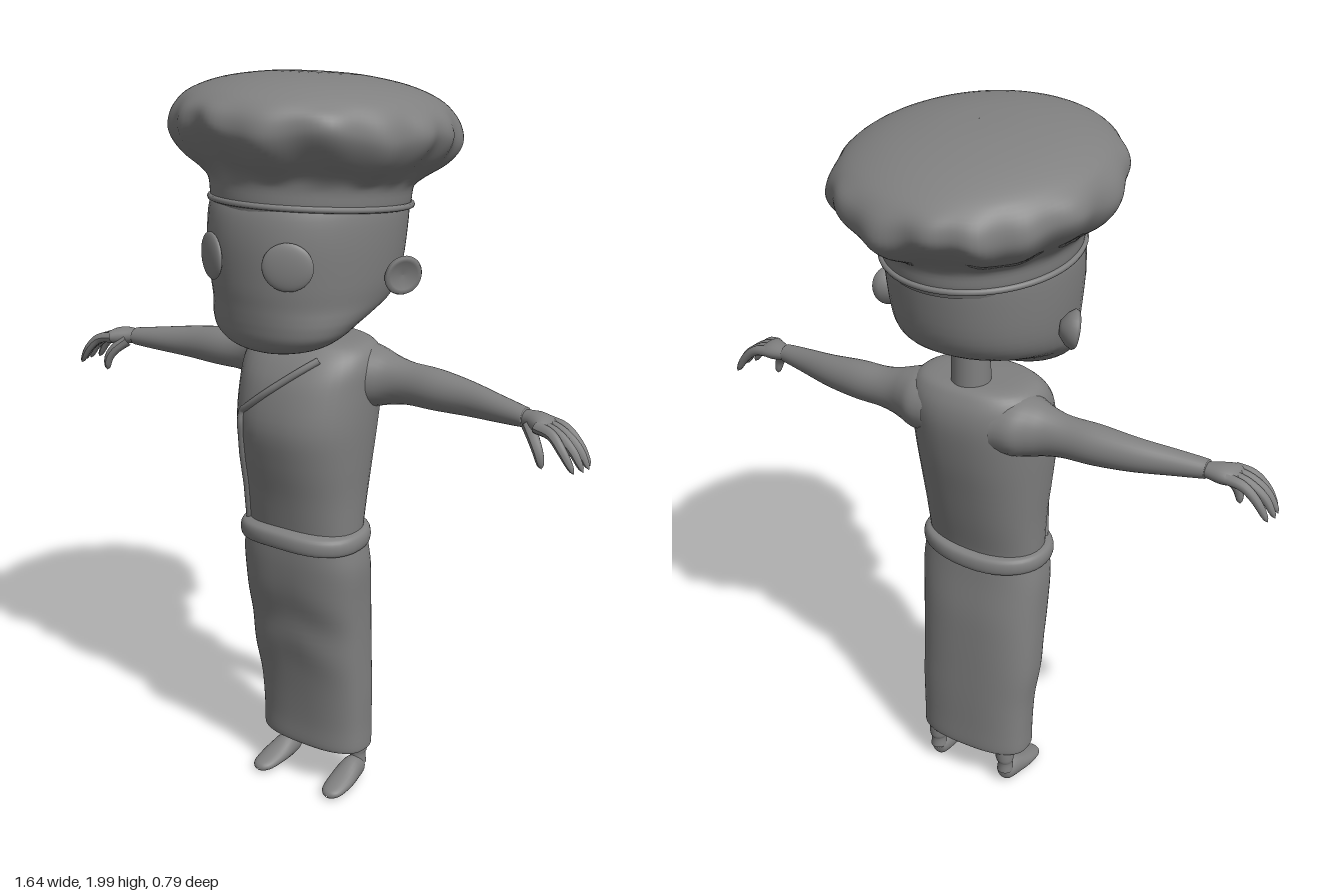
import * as THREE from 'three';

const mat = new THREE.MeshStandardMaterial({ color: 0x808080 });
const clothMat = new THREE.MeshStandardMaterial({ color: 0x808080, side: THREE.DoubleSide });
const V = (x, y, z) => new THREE.Vector3(x, y, z);

// Smooth loft upwards through rows [y, centreX, centreZ, radiusX, radiusZ] of superellipses.
function loft(rows, { n = 40, p = 2, sub = 4, warp } = {}) {
  const spline = (pts) => new THREE.CatmullRomCurve3(pts, false, 'catmullrom', 0.5);
  const mid = spline(rows.map((r) => V(r[0], r[1], r[2])));
  const rad = spline(rows.map((r) => V(r[3], r[4], 0)));
  const m = (rows.length - 1) * sub, pos = [], idx = [];
  const sp = (c) => Math.sign(c) * Math.abs(c) ** (2 / p);
  for (let i = 0; i <= m; i++) {
    const c = mid.getPoint(i / m), r = rad.getPoint(i / m);
    for (let j = 0; j < n; j++) {
      const a = (j / n) * Math.PI * 2;
      const v = V(c.y + Math.max(r.x, 0.0005) * sp(Math.cos(a)), c.x, c.z + Math.max(r.y, 0.0005) * sp(Math.sin(a)));
      if (warp) warp(v, a, c.z);
      pos.push(v.x, v.y, v.z);
      if (i < m) {
        const A = i * n + j, B = i * n + (j + 1) % n;
        idx.push(A, A + n, B, B, A + n, B + n);
      }
    }
  }
  const g = new THREE.BufferGeometry();
  g.setAttribute('position', new THREE.Float32BufferAttribute(pos, 3));
  g.setIndex(idx);
  g.computeVertexNormals();
  return g;
}

// Row from front z, back z and half width.
const row = (y, front, back, rx, cx = 0) => [y, cx, (front + back) / 2, rx, (front - back) / 2];

// Tube that tapers towards a rounded tip.
function finger(points, r) {
  const curve = new THREE.CatmullRomCurve3(points), seg = 16, sides = 10;
  const g = new THREE.TubeGeometry(curve, seg, r, sides);
  const pos = g.attributes.position, v = V(0, 0, 0);
  for (let i = 0; i <= seg; i++) {
    const t = i / seg, c = curve.getPointAt(t);
    const k = (1 - 0.35 * t) * Math.sqrt(Math.max(0, 1 - t ** 8));
    for (let j = 0; j <= sides; j++) {
      const q = i * (sides + 1) + j;
      v.fromBufferAttribute(pos, q).sub(c).multiplyScalar(Math.max(k, 0.02)).add(c);
      pos.setXYZ(q, v.x, v.y, v.z);
    }
  }
  g.computeVertexNormals();
  return g;
}

function mirrored(g) {
  const m = g.clone().scale(-1, 1, 1), ix = m.index.array;
  for (let i = 0; i < ix.length; i += 3) [ix[i], ix[i + 1]] = [ix[i + 1], ix[i]];
  return m;
}

export function createModel() {
  const model = new THREE.Group();
  const add = (name, g, material = mat) => {
    const mesh = new THREE.Mesh(g, material);
    mesh.name = name;
    model.add(mesh);
  };
  const pair = (name, g, material) => {
    add('left' + name, g, material);
    add('right' + name, mirrored(g), material);
  };

  // Torso
  const P = 2.3;
  const torso = [
    row(0.77, 0.15, -0.06, 0.165), row(0.8, 0.155, -0.06, 0.168), row(0.9, 0.172, -0.085, 0.172),
    row(1.0, 0.195, -0.108, 0.18), row(1.1, 0.21, -0.13, 0.187), row(1.2, 0.19, -0.143, 0.19),
    row(1.26, 0.16, -0.138, 0.19), row(1.3, 0.125, -0.12, 0.172), row(1.318, 0.095, -0.1, 0.13),
    row(1.322, 0.01, -0.07, 0.03),
  ];
  add('torso', loft(torso, { p: P }));

  // Crossed collar edge, laid on the chest surface
  const chestZ = (x, y) => {
    const i = Math.max(1, torso.findIndex((r) => r[0] >= y));
    const a = torso[i - 1], b = torso[i], t = (y - a[0]) / (b[0] - a[0]);
    const [cz, rx, rz] = [2, 3, 4].map((k) => a[k] + (b[k] - a[k]) * t);
    return cz + rz * Math.max(0, 1 - Math.abs(x / rx) ** P) ** (1 / P);
  };
  const edge = [[0.1, 1.285], [-0.105, 1.13], [-0.145, 0.8]];
  const pts = [];
  for (let s = 0; s < 2; s++) {
    for (let i = s; i <= 10; i++) {
      const t = i / 10, x = edge[s][0] + (edge[s + 1][0] - edge[s][0]) * t;
      const y = edge[s][1] + (edge[s + 1][1] - edge[s][1]) * t;
      pts.push(V(x, y, chestZ(x, y) + 0.003));
    }
  }
  add('collarEdge', new THREE.TubeGeometry(new THREE.CatmullRomCurve3(pts), 60, 0.01, 8));

  // Belt
  const belt = [[0.754, 0.165, 0.115], [0.759, 0.183, 0.133], [0.782, 0.188, 0.137], [0.801, 0.181, 0.13], [0.808, 0.16, 0.105]];
  add('belt', loft(belt.map(([y, rx, rz]) => [y, 0, 0.052, rx, rz]), { p: P, warp: (v) => { v.y += 0.006 * Math.sin(v.x * 14 + v.z * 9); } }));

  // Long skirt with an open hem and a few soft folds
  add('skirt', loft([
    row(0.35, 0.075, -0.07, 0.155), row(0.15, 0.065, -0.075, 0.155), row(0.127, 0.074, -0.085, 0.165),
    row(0.135, 0.082, -0.092, 0.17), row(0.2, 0.083, -0.092, 0.17), row(0.3, 0.092, -0.092, 0.173),
    row(0.4, 0.108, -0.09, 0.179, -0.005), row(0.5, 0.124, -0.087, 0.181, -0.005), row(0.6, 0.145, -0.082, 0.183, -0.003),
    row(0.7, 0.157, -0.07, 0.186), row(0.77, 0.158, -0.063, 0.178),
  ], {
    n: 56, p: 2.6, warp: (v, a) => {
      const mid = Math.exp(-(((v.y - 0.5) / 0.12) ** 2)) * Math.max(0, Math.sin(a));
      v.z += 0.004 * mid * Math.sin(v.y * 30 + Math.abs(v.x) * 14);
    },
  }), clothMat);

  // Legs and feet
  pair('Leg', loft([
    [0.05, 0.115, -0.045, 0.024, 0.024], [0.08, 0.115, -0.045, 0.022, 0.022],
    [0.12, 0.113, -0.045, 0.029, 0.028], [0.35, 0.1, -0.02, 0.04, 0.04],
  ], { n: 20 }));
  pair('Foot', loft([
    [-0.056, 0.113, -0.042, 0.004, 0.004], [-0.048, 0.114, -0.041, 0.024, 0.028], [-0.01, 0.116, -0.04, 0.033, 0.036],
    [0.04, 0.12, -0.03, 0.038, 0.026], [0.09, 0.123, -0.021, 0.033, 0.017], [0.112, 0.124, -0.018, 0.02, 0.011],
    [0.12, 0.124, -0.016, 0.002, 0.002],
  ], { n: 24 }).rotateX(Math.PI / 2));

  // Arms, lofted upright and laid along x, flaring into the shoulder
  pair('Arm', loft([
    [0.1, -1.222, -0.025, 0.086, 0.105], [0.15, -1.222, -0.028, 0.084, 0.098], [0.19, -1.222, -0.03, 0.076, 0.076],
    [0.23, -1.221, -0.031, 0.065, 0.058], [0.28, -1.22, -0.031, 0.056, 0.051], [0.36, -1.219, -0.028, 0.054, 0.051],
    [0.46, -1.216, -0.02, 0.045, 0.042], [0.56, -1.213, 0, 0.034, 0.034], [0.63, -1.211, 0.013, 0.026, 0.028],
    [0.642, -1.211, 0.014, 0.022, 0.024], [0.642, -1.211, 0.014, 0.001, 0.001],
  ], { n: 28 }).rotateZ(-Math.PI / 2));

  // Hands
  pair('Palm', loft([
    [0.625, -1.21, 0.013, 0.018, 0.02], [0.65, -1.21, 0.015, 0.021, 0.026], [0.68, -1.208, 0.022, 0.025, 0.037],
    [0.705, -1.206, 0.03, 0.022, 0.044], [0.722, -1.202, 0.032, 0.014, 0.04], [0.73, -1.2, 0.032, 0.001, 0.004],
  ], { n: 24 }).rotateZ(-Math.PI / 2));
  [[0, 0, 0.812], [0.021, 0.026, 0.822], [0.042, 0.052, 0.82], [0.06, 0.077, 0.808]].forEach(([z0, z1, x], i) => {
    pair('Finger' + (i + 1), finger([
      V(0.695, 1.208, z0), V(0.74, 1.199, (z0 + z1) / 2), V(x - 0.034, 1.168, z1), V(x, 1.118, z1),
    ], 0.0155));
  });
  pair('Thumb', finger([V(0.66, 1.2, 0.035), V(0.69, 1.172, 0.058), V(0.707, 1.145, 0.066), V(0.716, 1.108, 0.064)], 0.0175));

  // Neck and head
  add('neck', new THREE.CylinderGeometry(0.05, 0.053, 0.2, 28).translate(0, 1.38, -0.042));
  add('head', loft([
    row(1.312, 0.2, 0.18, 0.01), row(1.316, 0.235, 0.13, 0.075), row(1.332, 0.262, 0.075, 0.135),
    row(1.36, 0.278, 0.03, 0.178), row(1.39, 0.285, -0.03, 0.2), row(1.415, 0.289, -0.1, 0.213),
    row(1.445, 0.293, -0.172, 0.223), row(1.5, 0.3, -0.212, 0.234), row(1.6, 0.304, -0.231, 0.243),
    row(1.68, 0.292, -0.236, 0.242), row(1.73, 0.26, -0.22, 0.22),
  ], { n: 48, p: 2.1 }));

  // Eyes: flattened discs turned to follow the face
  pair('Eye', new THREE.SphereGeometry(1, 28, 18).scale(0.064, 0.06, 0.014).rotateY(0.5).translate(0.12, 1.555, 0.277));

  // Ears: shallow cups turned towards the front
  const cup = [[0, -0.03], [0.02, -0.027], [0.04, -0.01], [0.05, 0.006], [0.046, 0.014], [0.036, 0.011], [0.02, 0.005], [0, 0.003]];
  pair('Ear', new THREE.LatheGeometry(cup.map(([x, y]) => new THREE.Vector2(x, y)), 28)
    .scale(1.04, 1, 1).rotateZ(-Math.PI / 2).rotateY(-0.6).rotateZ(-0.2).translate(0.264, 1.508, -0.005), clothMat);

  // Hat: gathered puffy crown on a band, tilted up at the front
  const tilt = 0.085;
  add('hat', loft([
    [1.65, 0, 0.025, 0.238, 0.265], [1.68, 0, 0.022, 0.246, 0.272], [1.72, 0, 0.02, 0.253, 0.276],
    [1.75, 0, 0.012, 0.277, 0.298], [1.785, 0, 0.005, 0.318, 0.341], [1.825, 0, 0, 0.346, 0.377],
    [1.86, 0, 0, 0.353, 0.388], [1.9, 0, 0, 0.338, 0.376], [1.937, 0, 0, 0.298, 0.33],
    [1.968, 0, 0, 0.22, 0.245], [1.987, 0, 0, 0.11, 0.125], [1.992, 0, 0, 0.001, 0.001],
  ], {
    n: 144, warp: (v, a, cz) => {
      const h = Math.min(1, Math.max(0, (v.y - 1.72) / 0.2));
      const pleat = 0.024 * Math.sin(h * Math.PI) * (0.7 * Math.sin(17 * a + Math.sin(3 * a)) + 0.4 * Math.sin(9 * a + 1));
      v.x *= 1 + pleat;
      v.z = cz + (v.z - cz) * (1 + pleat);
      v.y += tilt * v.z + 0.012 * Math.sin(h * Math.PI) * Math.sin(7 * a + 2);
    },
  }), clothMat);
  const rim = Array.from({ length: 32 }, (_, i) => {
    const a = (i / 32) * Math.PI * 2, z = 0.021 + 0.272 * Math.sin(a);
    return V(0.248 * Math.cos(a), 1.672 + tilt * z, z);
  });
  add('hatRim', new THREE.TubeGeometry(new THREE.CatmullRomCurve3(rim, true), 96, 0.008, 8, true));

  return model;
}
